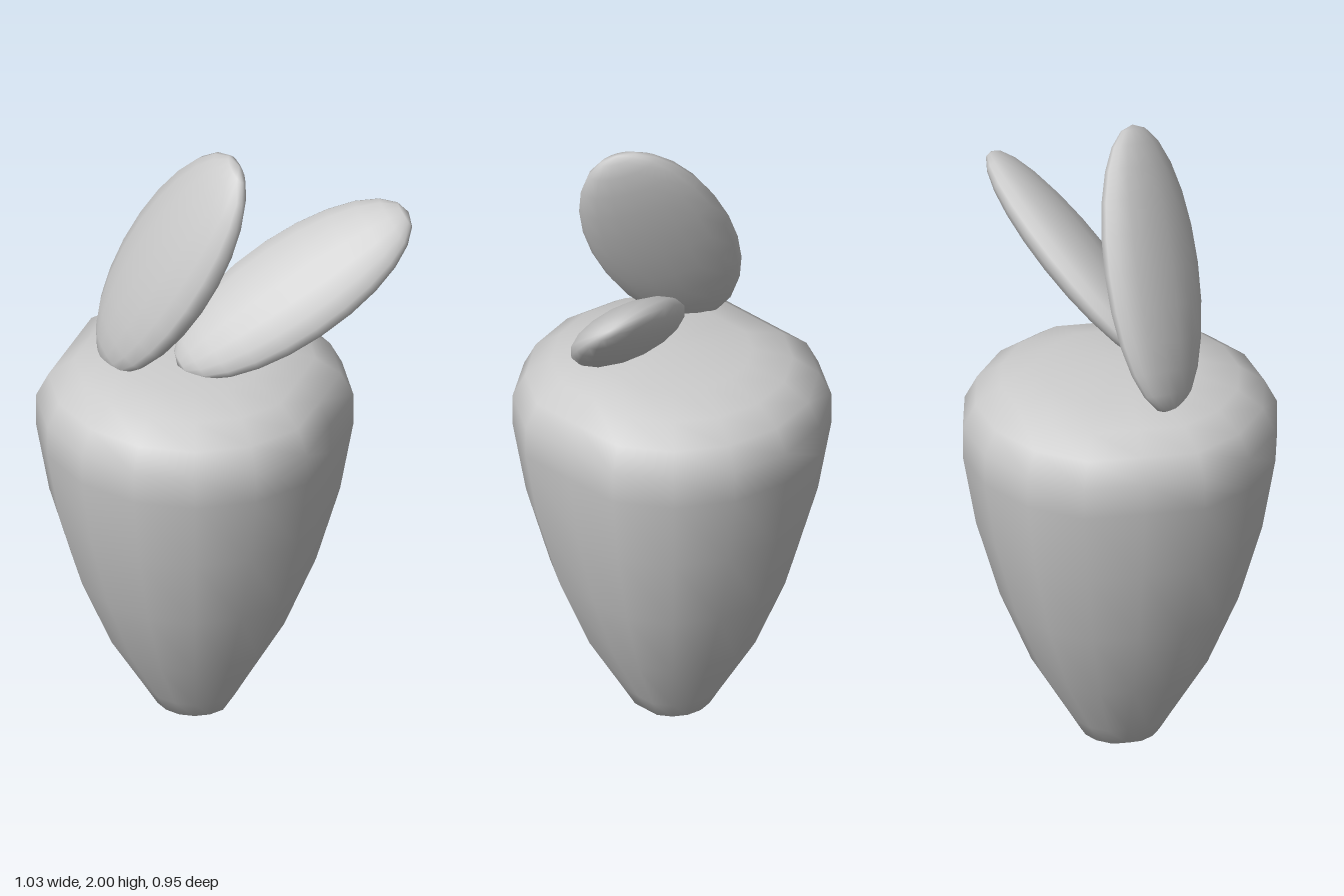
import * as THREE from 'three';
import { mergeVertices } from 'three/addons/utils/BufferGeometryUtils.js';

const material = new THREE.MeshStandardMaterial({ color: 0xcccccc });

// Tapered root: a 16-sided lathe with its two x sides flattened
function createRoot() {
  const profile = [
    [0, 0], [0.055, 0.004], [0.12, 0.04], [0.155, 0.1], [0.268, 0.29], [0.363, 0.52], [0.435, 0.77],
    [0.475, 1.0], [0.475, 1.1], [0.437, 1.175], [0.36, 1.23], [0.24, 1.262], [0, 1.277],
  ].map(([r, y]) => new THREE.Vector2(r, y));
  let geometry = new THREE.LatheGeometry(profile, 16);
  const p = geometry.attributes.position;
  for (let i = 0; i < p.count; i++) {
    const limit = 0.92 * Math.hypot(p.getX(i), p.getZ(i));
    p.setX(i, THREE.MathUtils.clamp(p.getX(i), -limit, limit));
  }
  // Weld the seam so the shading is smooth all round
  geometry.deleteAttribute('uv');
  geometry.deleteAttribute('normal');
  geometry = mergeVertices(geometry, 1e-4);
  geometry.computeVertexNormals();
  const root = new THREE.Mesh(geometry, material);
  root.name = 'root';
  root.position.x = -0.08;
  return root;
}

// Flat oval leaf: long axis, width axis and half sizes (width, length, thickness)
function createLeaf(name, center, along, across, size) {
  const y = new THREE.Vector3(...along).normalize();
  const z = new THREE.Vector3(...across).cross(y).normalize();
  const x = new THREE.Vector3().crossVectors(y, z);
  const leaf = new THREE.Mesh(new THREE.SphereGeometry(1, 16, 12), material);
  leaf.name = name;
  leaf.quaternion.setFromRotationMatrix(new THREE.Matrix4().makeBasis(x, y, z));
  leaf.position.set(...center);
  leaf.scale.set(...size);
  return leaf;
}

export function createModel() {
  const group = new THREE.Group();
  group.name = 'carrot';
  group.add(
    createRoot(),
    createLeaf('tallLeaf', [-0.12, 1.61, 0.088], [0.483, 0.874, -0.051], [0.654, -0.308, 0.69], [0.215, 0.435, 0.08]),
    createLeaf('lowLeaf', [0.2, 1.49, -0.09], [0.69, 0.532, -0.489], [0.71, -0.455, 0.545], [0.18, 0.417, 0.078]),
  );
  return group;
}
